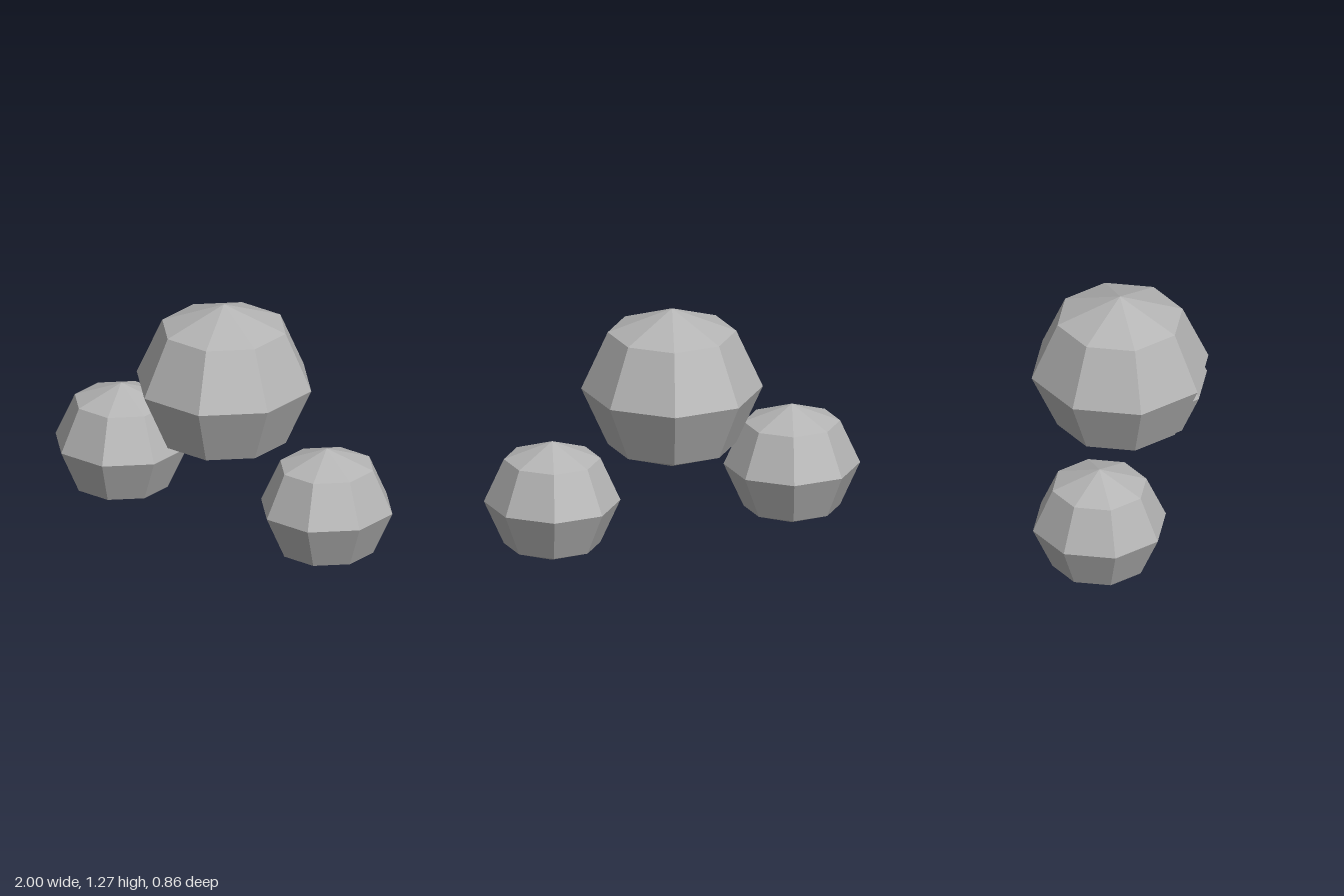
import * as THREE from 'three';

const SIDES = 8;

// Faceted ball with a flat side, not a corner, facing each axis
function makeBall(name, radius, x, y, material) {
  const geometry = new THREE.SphereGeometry(radius, SIDES, 4, Math.PI / SIDES);
  const spread = 1 / Math.cos(Math.PI / SIDES);
  geometry.scale(spread, 1, spread);
  const ball = new THREE.Mesh(geometry, material);
  ball.name = name;
  ball.position.set(x, y, 0);
  return ball;
}

export function createModel() {
  const grey = new THREE.MeshStandardMaterial({ color: 0xb4b4b4 });
  grey.name = 'grey';
  grey.flatShading = true;

  const model = new THREE.Group();
  model.name = 'threeBalls';

  // Large raised ball in the middle
  model.add(makeBall('centreBall', 0.431, 0, 0.84, grey));

  // Smaller ball low on each side
  for (const side of [-1, 1]) {
    const name = side > 0 ? 'leftBall' : 'rightBall';
    model.add(makeBall(name, 0.324, side * 0.676, 0.324, grey));
  }
  return model;
}
